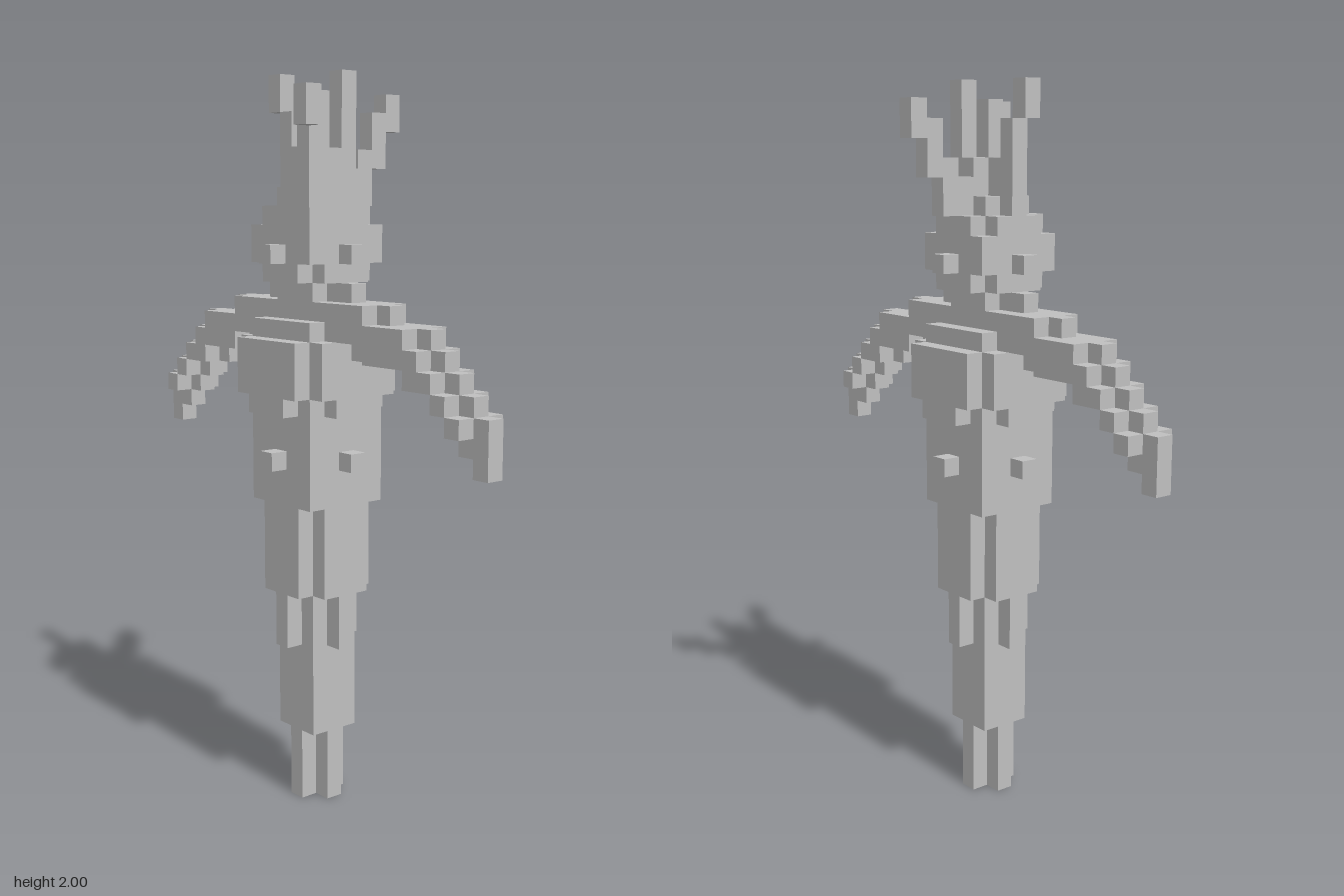
import * as THREE from 'three';

const U = 0.05; // cube size
const CZ = 0.05; // depth of the body axis

export function createModel() {
  const model = new THREE.Group();
  const grey = new THREE.MeshStandardMaterial({ color: 0xbfbfbf });
  grey.name = 'grey stone';

  // Box over cubes i0..i1 (x) and k0..k1 (z), from row j0 up to row j1 (y)
  function block(name, i0, i1, j0, j1, k0, k1) {
    const geo = new THREE.BoxGeometry((i1 - i0 + 1) * U, (j1 - j0) * U, (k1 - k0 + 1) * U);
    const mesh = new THREE.Mesh(geo, grey);
    mesh.name = name;
    mesh.position.set((i0 + i1) / 2 * U, (j0 + j1) / 2 * U, (k0 + k1) / 2 * U + CZ);
    model.add(mesh);
  }
  // Square block centred on the body axis
  const square = (name, r, j0, j1) => block(name, -r, r, j0, j1, -r, r);
  // Two crossed bars: reach a along each axis, half width b
  function cross(name, a, b, j0, j1) {
    block(name, -a, a, j0, j1, -b, b);
    block(name, -b, b, j0, j1, -a, a);
  }

  // Tapering lower body
  cross('foot', 1, 0, 0, 4);
  square('lowerLeg', 1, 4, 12);
  cross('lowerFin', 2, 0, 9, 12);
  cross('upperFin', 2, 1, 12, 17);
  square('hips', 2, 17, 22);
  cross('hipStud', 3, 0, 19, 20);

  // Rounded chest
  square('chestCore', 2, 22, 27);
  cross('chestLower', 3, 1, 22, 23);
  cross('chestPlate', 3, 2, 23, 26);

  // Shoulders and neck
  block('shoulders', -3, 3, 25, 28, -1, 1);
  block('collar', -3, 3, 28, 29, 0, 0);
  square('neck', 1, 28, 29);

  // Arched arms: a full middle slice with thinner slices in front and behind
  const top = [28, 28, 28, 27, 27, 27, 26, 25, 24, 23];
  const bottom = [25, 25, 25, 25, 24, 24, 23, 22, 21, 20];
  for (const side of [-1, 1]) {
    top.forEach((t, n) => {
      const i = side * (n + 4);
      block('armMiddle', i, i, bottom[n], t, 0, 0);
      if (n === top.length - 1) return;
      const low = n < 2 ? 26 : bottom[n - 1];
      for (const k of [-1, 1]) block('armEdge', i, i, low, top[n + 1], k, k);
    });
  }

  // Head
  cross('jaw', 2, 1, 29, 30);
  square('head', 2, 30, 32);
  cross('headStud', 3, 0, 30, 31);
  cross('brow', 2, 1, 32, 33);
  square('crown', 1, 33, 34);

  // Right horn
  block('rightHorn', -2, -1, 33, 36, 0, 0);
  block('rightHorn', -2, -2, 36, 38, 0, 0);
  block('rightHornTip', -3, -3, 38, 40, 0, 0);

  // Front left horn
  block('frontHorn', 1, 2, 32, 34, 1, 2);
  block('frontHorn', 1, 1, 34, 36, 1, 2);
  block('frontHorn', 2, 2, 34, 38, 2, 2);
  block('frontHornTip', 3, 3, 37, 39, 3, 3);

  // Central horn
  block('centreHorn', 0, 0, 34, 39, 0, 0);
  block('centreHorn', 0, 1, 34, 36, -1, 0);
  block('centreHornTip', 1, 1, 36, 40, -1, -1);

  // Back horn, stepping outwards
  block('backHorn', 0, 0, 33, 35, -2, -2);
  block('backHorn', 0, 0, 33, 36, -3, -3);
  block('backHorn', 0, 0, 35, 38, -4, -4);
  block('backHornTip', 0, 0, 37, 39, -5, -5);

  return model;
}
